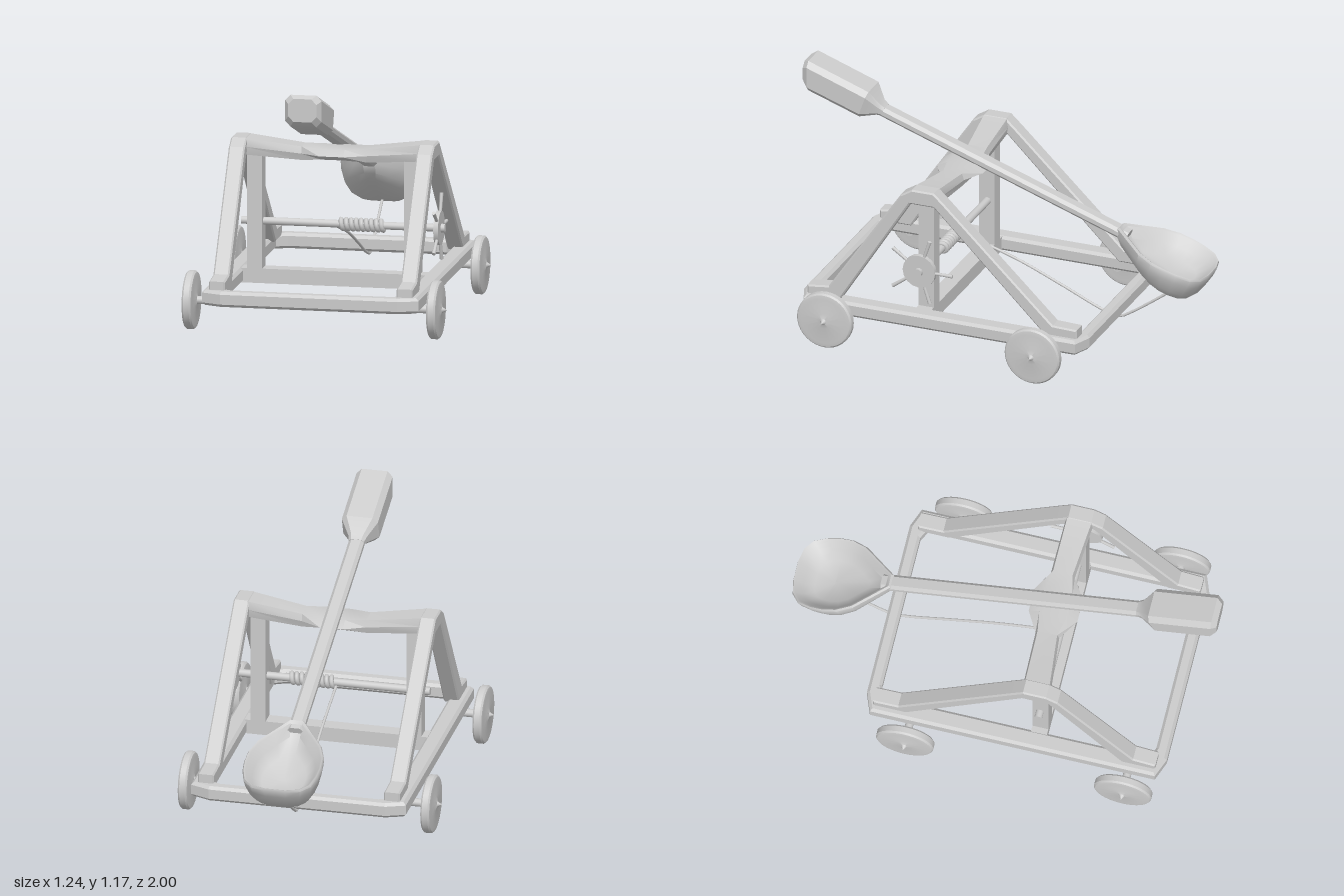
import * as THREE from 'three';
import { toCreasedNormals } from 'three/addons/utils/BufferGeometryUtils.js';

const grey = new THREE.MeshStandardMaterial({ color: 0xcccccc });
const V = (x, y, z) => new THREE.Vector3(x, y, z);

function add(parent, name, geometry, x = 0, y = 0, z = 0) {
  const mesh = new THREE.Mesh(geometry, grey);
  mesh.name = name;
  mesh.position.set(x, y, z);
  parent.add(mesh);
  return mesh;
}

// Skin through rings of equal point count, closed at both ends.
function loft(rings, crease = 0.5) {
  const n = rings[0].length, pos = rings.flat(2), index = [];
  for (let i = 0; i < rings.length - 1; i++) {
    for (let j = 0; j < n; j++) {
      const a = i * n + j, b = i * n + (j + 1) % n;
      index.push(a, b, b + n, a, b + n, a + n);
    }
  }
  const end = (rings.length - 1) * n;
  for (let j = 1; j < n - 1; j++) {
    index.push(0, j + 1, j, end, end + j, end + j + 1);
  }
  const g = new THREE.BufferGeometry();
  g.setAttribute('position', new THREE.Float32BufferAttribute(pos, 3));
  g.setIndex(index);
  return toCreasedNormals(g, crease);
}

// Chamfered rectangle across the arm, optionally leaning along it.
function armRing(s, w, lo, hi, c, lean = 0) {
  return [[w, lo + c], [w, hi - c], [w - c, hi], [c - w, hi],
    [-w, hi - c], [-w, lo + c], [c - w, lo], [w - c, lo]].map(([x, y]) => [x, y, s + lean * y]);
}

function bevelled(shape, depth, bevel) {
  return new THREE.ExtrudeGeometry(shape, {
    depth: depth - 2 * bevel, bevelEnabled: true, bevelThickness: bevel,
    bevelSize: bevel, bevelOffset: -bevel, bevelSegments: 1,
  }).translate(0, 0, bevel - depth / 2);
}

const points2 = (list) => list.map(([x, y]) => new THREE.Vector2(x, y));
const cutRect = (w, z0, z1, cx, cz) => points2([[-w, z0 + cz], [cx - w, z0], [w - cx, z0],
  [w, z0 + cz], [w, z1 - cz], [w - cx, z1], [cx - w, z1], [-w, z1 - cz]]);

function buildFrame(parent) {
  // Ground frame with clipped corners
  const base = new THREE.Shape(cutRect(0.505, -0.56, 0.85, 0.09, 0.035));
  base.holes.push(new THREE.Path(cutRect(0.42, -0.5, 0.79, 0.05, 0.025)));
  add(parent, 'baseFrame', bevelled(base, 0.072, 0.013).rotateX(Math.PI / 2), 0, 0.18, 0);
  add(parent, 'baseCrossbar', new THREE.BoxGeometry(0.86, 0.068, 0.075), 0, 0.18, 0.252);

  // A-shaped sides with flat feet, and the upright posts beside them
  const side = new THREE.Shape(points2([[0.81, 0.2], [0.81, 0.255], [0.705, 0.268], [0.35, 0.79],
    [0.295, 0.824], [0.187, 0.824], [0.134, 0.775], [-0.4, 0.262], [-0.52, 0.258], [-0.52, 0.2],
    [-0.37, 0.2], [0.187, 0.752], [0.305, 0.752], [0.655, 0.2]]));
  for (const k of [-1, 1]) {
    add(parent, k > 0 ? 'leftSideFrame' : 'rightSideFrame',
      bevelled(side, 0.075, 0.007).rotateY(-Math.PI / 2), k * 0.4375);
    add(parent, k > 0 ? 'leftPost' : 'rightPost',
      new THREE.BoxGeometry(0.07, 0.56, 0.075), k * 0.366, 0.485, 0.252);
  }

  // Top beam: sagging, with a flattened bulge under the arm
  const half = [[0.41, 0.745, 0.822, 0.175, 0.305, 0.008], [0.15, 0.725, 0.788, 0.168, 0.28, 0.01],
    [0.055, 0.735, 0.785, 0.113, 0.342, 0.05]];
  const sections = [...half.map(([x, ...r]) => [-x, ...r]), ...half.slice().reverse()];
  add(parent, 'topBeam', loft(sections.map(([x, lo, hi, z0, z1, e]) => {
    const mid = (lo + hi) / 2;
    return [[x, hi, z1 - e], [x, mid, z1], [x, lo, z1 - e], [x, lo, z0 + e], [x, mid, z0], [x, hi, z0 + e]];
  })));
}

function buildArm(parent) {
  const arm = new THREE.Group();
  arm.name = 'throwingArm';
  arm.position.y = 0.749;
  arm.rotation.x = -THREE.MathUtils.degToRad(19.2);
  parent.add(arm);

  add(arm, 'armShaft', loft([armRing(-0.62, 0.036, -0.024, 0.024, 0.014),
    armRing(0.71, 0.036, -0.024, 0.024, 0.014)]));
  add(arm, 'counterweight', loft([
    armRing(0.655, 0.036, -0.018, 0.025, 0.012),
    armRing(0.68, 0.042, -0.025, 0.033, 0.014),
    armRing(0.745, 0.085, -0.055, 0.083, 0.024),
    armRing(1.03, 0.085, -0.055, 0.085, 0.024, 0.35),
    armRing(1.058, 0.066, -0.038, 0.064, 0.024, 0.35)]));

  // Spoon: one outline scaled into the outer shell, rim and hollow
  const right = [[0.03, -0.565], [0.09, -0.645], [0.15, -0.725], [0.178, -0.8], [0.183, -0.87],
    [0.177, -0.93], [0.157, -0.995], [0.115, -1.033], [0.05, -1.048]];
  const outline = [...right, ...right.slice().reverse().map(([x, s]) => [-x, s])];
  const centre = -0.88;
  const shell = [[0.02, -0.133, 0], [0.5, -0.133, 0.22], [0.72, -0.112, 0.16], [0.87, -0.075, 0.08],
    [0.97, -0.015, 0], [1, 0.022, 0], [0.97, 0.032, 0], [0.92, 0.026, 0],
    [0.78, -0.02, 0], [0.55, -0.055, 0], [0.02, -0.07, 0]];
  add(arm, 'spoonBowl', loft(shell.map(([k, n, tilt]) => outline.map(([x, s]) =>
    [x * k, n + tilt * Math.max(0, (s - centre) * k), centre + (s - centre) * k])), 0.7));
}

function buildWheels(parent) {
  const edge = [[0, -0.036], [0.012, -0.03], [0.035, -0.023], [0.11, -0.024], [0.128, -0.021], [0.135, -0.013]];
  const profile = points2([...edge, ...edge.slice().reverse().map(([r, h]) => [r, -h])]);
  const wheel = toCreasedNormals(new THREE.LatheGeometry(profile, 36), 0.6).rotateZ(-Math.PI / 2);
  for (const [end, z] of [['front', 0.685], ['back', -0.34]]) {
    for (const [sideName, turn] of [['Left', 0], ['Right', Math.PI]]) {
      const g = new THREE.Group();
      g.name = end + sideName + 'Wheel';
      g.position.set(0, 0.14, z);
      g.rotation.y = turn;
      add(g, 'wheelDisc', wheel, 0.57);
      add(g, 'axleStub', new THREE.CylinderGeometry(0.019, 0.019, 0.15, 12).rotateZ(Math.PI / 2), 0.52);
      add(g, 'axleTip', new THREE.ConeGeometry(0.02, 0.03, 12).rotateZ(-Math.PI / 2), 0.606);
      parent.add(g);
    }
  }
}

function buildWinch(parent) {
  const winch = new THREE.Group();
  winch.name = 'winch';
  winch.position.set(0, 0.43, 0.25);
  parent.add(winch);
  const rod = (r, l) => new THREE.CylinderGeometry(r, r, l, 16).rotateZ(Math.PI / 2);
  add(winch, 'winchAxle', rod(0.018, 0.95), 0.04);

  // Hand wheel with five spokes
  add(winch, 'handWheel', rod(0.08, 0.022), 0.486);
  add(winch, 'handWheelHub', rod(0.02, 0.03), 0.5);
  for (let i = 0; i < 5; i++) {
    const pivot = new THREE.Group();
    pivot.name = 'spoke';
    pivot.rotation.x = -Math.PI / 2 + i * Math.PI * 0.4;
    pivot.position.x = 0.488;
    add(pivot, 'spokeRod', new THREE.CylinderGeometry(0.009, 0.007, 0.1, 8), 0, 0.113);
    winch.add(pivot);
  }

  // Rope wound round the axle
  const coil = [], turns = 9;
  for (let i = 0; i <= turns * 12; i++) {
    const a = i / 12 * Math.PI * 2;
    coil.push(V(0.018 + 0.21 * i / (turns * 12), -0.022 * Math.cos(a), -0.022 * Math.sin(a)));
  }
  add(winch, 'ropeCoil', new THREE.TubeGeometry(new THREE.CatmullRomCurve3(coil), turns * 16, 0.0115, 8));

  // Rope running under the back bar and up to the spoon
  const rope = new THREE.CatmullRomCurve3([V(0.005, 0.415, 0.235), V(0.005, 0.33, -0.04), V(0.005, 0.24, -0.257),
    V(0.005, 0.148, -0.47), V(0.005, 0.134, -0.54), V(0.005, 0.165, -0.6), V(0.005, 0.345, -0.85)]);
  add(parent, 'rope', new THREE.TubeGeometry(rope, 48, 0.0065, 8));
}

export function createModel() {
  const model = new THREE.Group();
  model.name = 'catapult';
  const body = new THREE.Group();
  body.name = 'body';
  body.position.x = 0.01;
  model.add(body);
  buildFrame(body);
  buildArm(body);
  buildWinch(body);
  buildWheels(model);
  return model;
}
